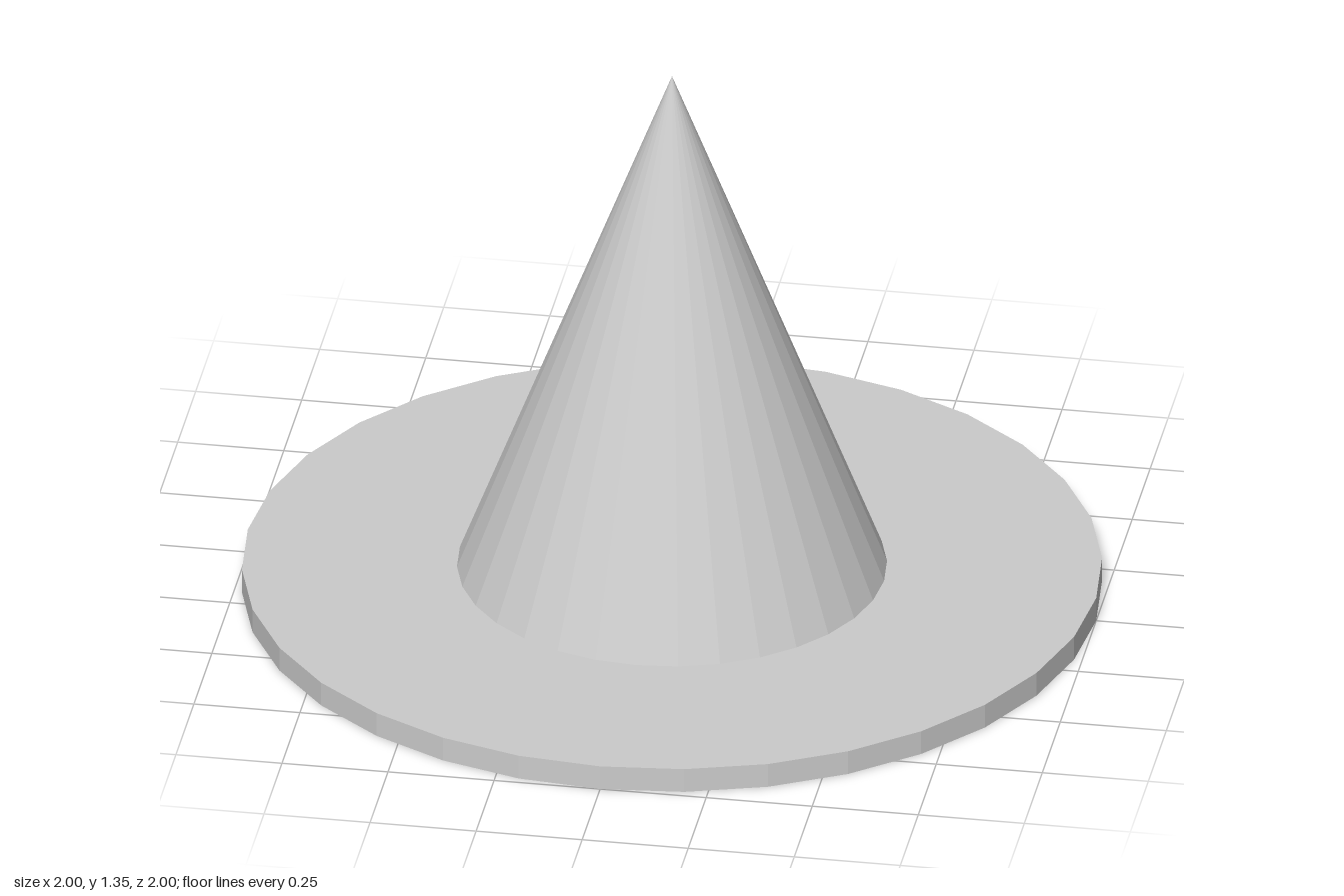
import * as THREE from 'three';

const SIDES = 32;
const material = new THREE.MeshStandardMaterial({ color: 0xcccccc, flatShading: true });

// Revolve a profile of [radius, height] pairs, listed so that faces point outward
function revolve(name, profile) {
  const points = profile.map(([r, y]) => new THREE.Vector2(r, y));
  const mesh = new THREE.Mesh(new THREE.LatheGeometry(points, SIDES), material);
  mesh.name = name;
  return mesh;
}

export function createModel() {
  const hat = new THREE.Group();
  hat.name = 'pointedHat';

  const brimTop = 0.06, holeRadius = 0.4, holeTop = 0.17;

  // Flat ring: underside, rim and top
  hat.add(revolve('brim', [[holeRadius, 0], [1, 0], [1, brimTop], [0.5, brimTop]]));

  // Tall pointed crown
  hat.add(revolve('crown', [[0.5, brimTop], [0, 1.35]]));

  // Shallow round recess for the head, with a flat ceiling
  hat.add(revolve('headOpening', [[0, holeTop], [holeRadius, holeTop], [holeRadius, 0]]));

  return hat;
}
